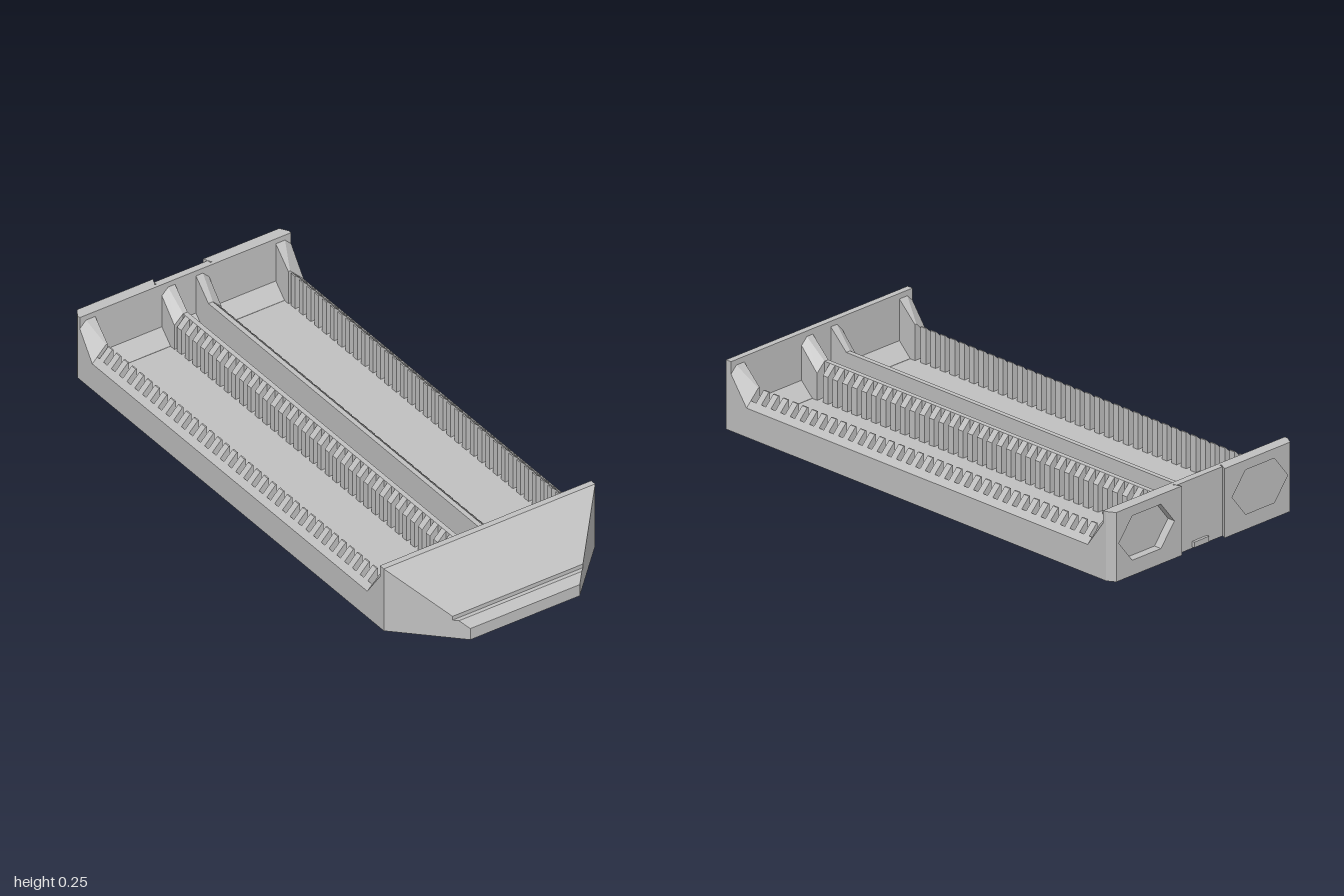
import * as THREE from 'three';

const plastic = new THREE.MeshStandardMaterial({ color: 0xc0c0c0 });
plastic.name = 'light grey plastic';
const openPlastic = new THREE.MeshStandardMaterial({ color: 0xc0c0c0, side: THREE.DoubleSide });
openPlastic.name = 'light grey thin plastic';

const FLOOR = 0.03;

function flatGeometry(positions) {
  const g = new THREE.BufferGeometry();
  g.setAttribute('position', new THREE.Float32BufferAttribute(positions, 3));
  g.computeVertexNormals();
  return g;
}

// Solid between section a at z0 and section b at z1 (z0 < z1); points are [x, y]
function loft(a, b, z0, z1) {
  let A = a.map((p) => new THREE.Vector2(...p));
  let B = b.map((p) => new THREE.Vector2(...p));
  if (THREE.ShapeUtils.isClockWise(A)) { A.reverse(); B.reverse(); }
  const out = [];
  const add = (p, z) => out.push(p.x, p.y, z);
  A.forEach((p, i) => {
    const j = (i + 1) % A.length;
    add(p, z0); add(A[j], z0); add(B[j], z1);
    add(p, z0); add(B[j], z1); add(B[i], z1);
  });
  for (const [i, j, k] of THREE.ShapeUtils.triangulateShape(A, [])) {
    add(A[i], z0); add(A[k], z0); add(A[j], z0);
  }
  for (const [i, j, k] of THREE.ShapeUtils.triangulateShape(B, [])) {
    add(B[i], z1); add(B[j], z1); add(B[k], z1);
  }
  return flatGeometry(out);
}

const mirrored = (pts, s) => pts.map(([x, y]) => [x * s, y]);
const rect = (x0, x1, y0, y1) => [[x0, y0], [x1, y0], [x1, y1], [x0, y1]];

// Tapered nose skin: strips across x plus the two slanted cheeks
function noseSkin(profile, halfWidth) {
  const out = [];
  const add = (s, [z, y]) => out.push(s * halfWidth(z), y, z);
  for (let i = 0; i < profile.length - 1; i++) {
    const p = profile[i], q = profile[i + 1];
    add(-1, p); add(1, p); add(1, q);
    add(-1, p); add(1, q); add(-1, q);
    const root = [0.795, 0];
    add(1, root); add(1, q); add(1, p);
    add(-1, root); add(-1, p); add(-1, q);
  }
  return flatGeometry(out);
}

export function createModel() {
  const model = new THREE.Group();
  model.name = 'slottedTray';
  const put = (name, geometry, material = plastic, parent = model) => {
    const mesh = new THREE.Mesh(geometry, material);
    mesh.name = name;
    parent.add(mesh);
    return mesh;
  };
  const prism = (name, pts, z0, z1, parent) => put(name, loft(pts, pts, z0, z1), plastic, parent);

  // Tray base and end walls
  prism('floor', rect(-0.425, 0.425, 0, FLOOR), -0.97, 0.795);
  prism('frontWall', rect(-0.425, 0.425, FLOOR, 0.25), 0.772, 0.795);
  prism('backWall', rect(-0.425, 0.425, 0, 0.25), -0.97, -0.957);

  // Sloped fillets where the floor meets the end walls
  const high = rect(-0.405, 0.405, FLOOR, 0.08);
  const low = rect(-0.405, 0.405, FLOOR, FLOOR + 0.001);
  put('frontFillet', loft(low, high, 0.722, 0.772));
  put('backFillet', loft(high, low, -0.957, -0.907));

  // Section outlines of the right half
  const outerWall = [[0.405, FLOOR], [0.425, FLOOR], [0.425, 0.105], [0.405, 0.125]];
  const centreWall = rect(0.042, 0.06, FLOOR, 0.16);
  const outerTooth = [[0.365, FLOOR], [0.405, FLOOR], [0.405, 0.125], [0.37, 0.16], [0.365, 0.16]];
  const centreTooth = [[0.06, FLOOR], [0.093, FLOOR], [0.093, 0.127], [0.06, 0.16]];
  const outerPost = (yOut, yIn, x) => [[0.363, FLOOR], [0.425, FLOOR], [0.425, yOut], [x, yIn], [0.363, yIn]];
  const centrePost = (yOut, yIn, x) => [[0.042, FLOOR], [0.095, FLOOR], [0.095, yOut], [x, yIn], [0.042, yIn]];

  for (const s of [1, -1]) {
    const side = s > 0 ? 'left' : 'right';
    prism(side + 'OuterWall', mirrored(outerWall, s), -0.957, 0.772);
    prism(side + 'CentreWall', mirrored(centreWall, s), -0.957, 0.772);

    // Rows of divider teeth
    const teeth = new THREE.Group();
    teeth.name = side + 'Teeth';
    model.add(teeth);
    for (let i = 0; i < 35; i++) {
      const z = -0.86 + i * 0.0448;
      prism('outerTooth', mirrored(outerTooth, s), z - 0.012, z + 0.012, teeth);
      prism('centreTooth', mirrored(centreTooth, s), z - 0.012, z + 0.012, teeth);
    }

    // Sloping corner posts at both ends
    const posts = [
      ['OuterPost', outerPost(0.205, 0.23, 0.4), outerPost(0.105, 0.16, 0.37)],
      ['CentrePost', centrePost(0.205, 0.23, 0.07), centrePost(0.127, 0.16, 0.06)],
    ];
    for (const [name, tall, short] of posts) {
      const t = mirrored(tall, s), l = mirrored(short, s);
      put(side + 'Front' + name, loft(l, t, 0.7, 0.772));
      put(side + 'Back' + name, loft(t, l, -0.957, -0.885));
    }

    // Thick back panel with hexagonal pocket, chamfered corner and dovetail edge
    const panel = new THREE.Shape(mirrored(rect(0.1, 0.425, 0, 0.25), s).map((p) => new THREE.Vector2(...p)));
    const hex = [[0.135, 0.135], [0.198, 0.055], [0.332, 0.055], [0.395, 0.135], [0.332, 0.215], [0.198, 0.215]];
    panel.holes.push(new THREE.Path(mirrored(hex, s).map((p) => new THREE.Vector2(...p))));
    const g = new THREE.ExtrudeGeometry(panel, { depth: 0.03, bevelEnabled: false });
    g.translate(0, 0, -1);
    const pos = g.attributes.position;
    for (let i = 0; i < pos.count; i++) {
      const ax = Math.abs(pos.getX(i)), outside = pos.getZ(i) < -0.99;
      if (ax > 0.42 && outside) pos.setX(i, s * 0.407);
      if (ax < 0.11 && !outside) pos.setX(i, s * 0.115);
    }
    g.computeVertexNormals();
    put(side + 'BackPanel', g);
  }

  // Dovetail slot bed and its small catch
  prism('slotBed', rect(-0.108, 0.108, 0, 0.25), -0.983, -0.97);
  prism('slotCatch', rect(-0.035, 0.035, 0.005, 0.025), -0.993, -0.983);

  // Hollow tapered nose with a stepped groove, open underneath
  put('noseShell', noseSkin(
    [[1, 0], [1, 0.045], [0.973, 0.072], [0.958, 0.072], [0.958, 0.087], [0.795, 0.25]],
    (z) => 1.22 - z), openPlastic);
  put('noseLining', noseSkin(
    [[0.98, 0], [0.98, 0.03], [0.795, 0.215]],
    (z) => 1.185 - z), openPlastic);
  const rim = [[-0.425, 0.795], [-0.22, 1], [0.22, 1], [0.425, 0.795],
    [0.39, 0.795], [0.205, 0.98], [-0.205, 0.98], [-0.39, 0.795]];
  const rimShape = new THREE.Shape(rim.map((p) => new THREE.Vector2(...p)));
  put('noseRim', new THREE.ShapeGeometry(rimShape).rotateX(Math.PI / 2), openPlastic);

  return model;
}
